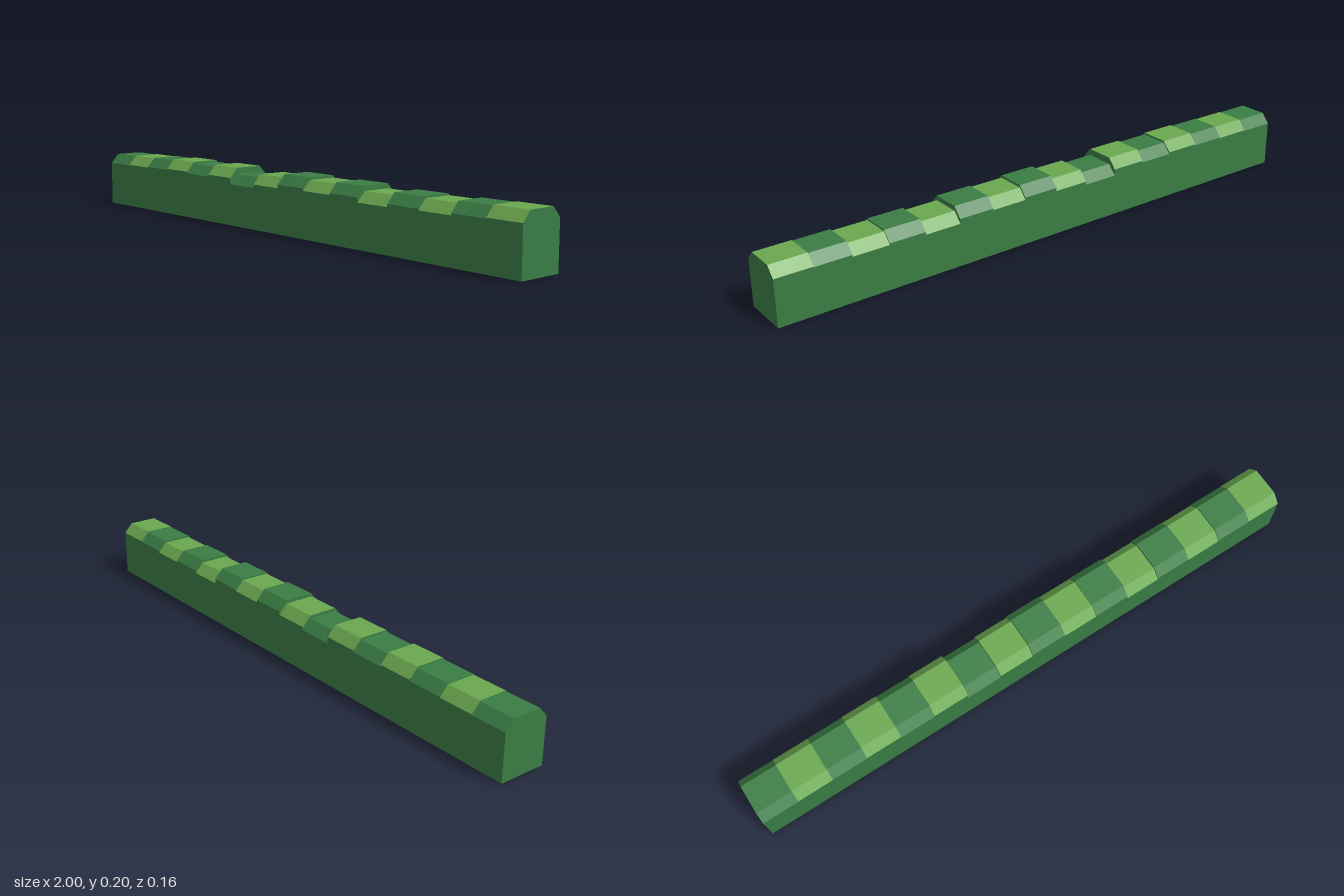
import * as THREE from 'three';
import { mergeGeometries } from 'three/addons/utils/BufferGeometryUtils.js';

const COUNT = 16, WIDTH = 2 / COUNT, HALF_DEPTH = 0.08, HALF_TOP = 0.05, BEVEL = 0.033;

// Top height of each hedge section, from -x to +x
const HEIGHTS = [0.189, 0.191, 0.193, 0.197, 0.191, 0.197, 0.175, 0.186,
  0.197, 0.189, 0.194, 0.178, 0.187, 0.182, 0.188, 0.19];

// Flat strips along x joining successive [z, y] profile points
function strips(profile, x0, x1) {
  const pos = [];
  for (let i = 0; i + 1 < profile.length; i++) {
    const [pz, py] = profile[i], [qz, qy] = profile[i + 1];
    pos.push(x0, py, pz, x1, py, pz, x1, qy, qz);
    pos.push(x0, py, pz, x1, qy, qz, x0, qy, qz);
  }
  const geo = new THREE.BufferGeometry();
  geo.setAttribute('position', new THREE.Float32BufferAttribute(pos, 3));
  geo.computeVertexNormals();
  return geo;
}

// End panel filling the profile, facing +x (side 1) or -x (side -1)
function endPanel(profile, x, side) {
  const shape = new THREE.Shape(profile.map(([z, y]) => new THREE.Vector2(z, y)));
  const geo = new THREE.ShapeGeometry(shape).toNonIndexed();
  geo.deleteAttribute('uv');
  return geo.rotateY(side * Math.PI / 2).translate(x, 0, 0);
}

export function createModel() {
  const hedge = new THREE.Group();
  hedge.name = 'hedge';

  const darkLeaf = new THREE.MeshStandardMaterial({ color: 0x3a7d44, side: THREE.DoubleSide });
  darkLeaf.name = 'dark leaf green';
  const lightLeaf = new THREE.MeshStandardMaterial({ color: 0x6aa84f, side: THREE.DoubleSide });
  lightLeaf.name = 'light leaf green';

  HEIGHTS.forEach((h, i) => {
    const x0 = -1 + i * WIDTH, x1 = x0 + WIDTH;
    const profile = [
      [HALF_DEPTH, 0], [HALF_DEPTH, h - BEVEL], [HALF_TOP, h],
      [-HALF_TOP, h], [-HALF_DEPTH, h - BEVEL], [-HALF_DEPTH, 0],
    ];
    const section = new THREE.Group();
    section.name = `hedgeSection${i + 1}`;

    // Side walls and end panels, open underneath
    const walls = new THREE.Mesh(mergeGeometries([
      strips(profile.slice(0, 2), x0, x1),
      strips(profile.slice(4), x0, x1),
      endPanel(profile, x0, -1),
      endPanel(profile, x1, 1),
    ]), darkLeaf);
    walls.name = 'walls';

    // Bevelled crown in alternating greens
    const crown = new THREE.Mesh(strips(profile.slice(1, 5), x0, x1), i % 2 ? lightLeaf : darkLeaf);
    crown.name = 'crown';

    section.add(walls, crown);
    hedge.add(section);
  });
  return hedge;
}
